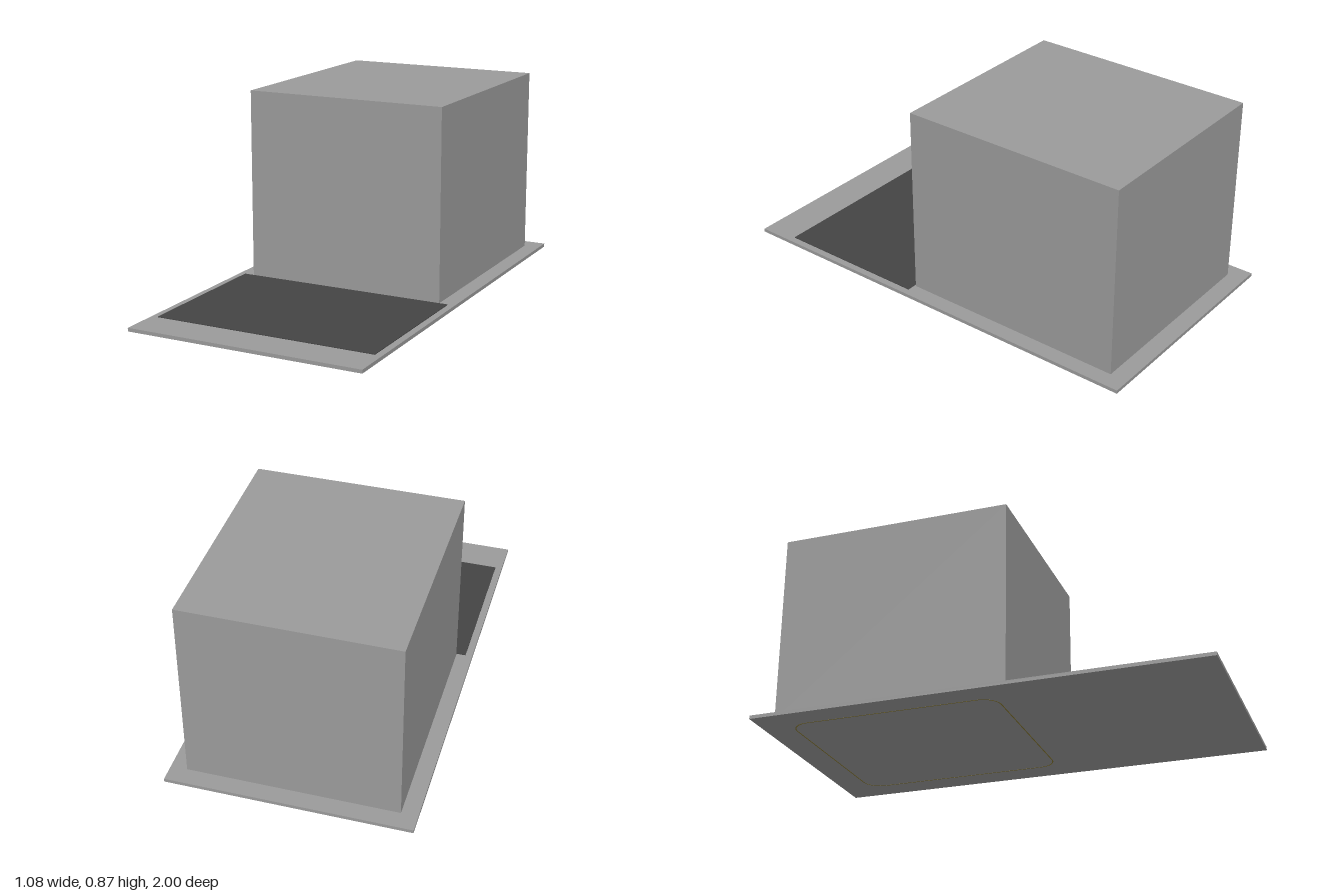
import * as THREE from 'three';

const grey = new THREE.MeshStandardMaterial({ color: 0x9a9a9a });
const dark = new THREE.MeshStandardMaterial({ color: 0x444444 });
const ochre = new THREE.MeshStandardMaterial({ color: 0x8a7a30 });

// Box given by its limits on each axis
function block(name, material, [x0, x1], [y0, y1], [z0, z1]) {
  const mesh = new THREE.Mesh(new THREE.BoxGeometry(x1 - x0, y1 - y0, z1 - z0), material);
  mesh.position.set((x0 + x1) / 2, (y0 + y1) / 2, (z0 + z1) / 2);
  mesh.name = name;
  return mesh;
}

// Rounded rectangle centred on the origin
function roundedRect(path, w, h, r) {
  const x = w / 2 - r, y = h / 2 - r;
  path.absarc(x, y, r, 0, Math.PI / 2);
  path.absarc(-x, y, r, Math.PI / 2, Math.PI);
  path.absarc(-x, -y, r, Math.PI, Math.PI * 1.5);
  path.absarc(x, -y, r, Math.PI * 1.5, Math.PI * 2);
  path.closePath();
  return path;
}

export function createModel() {
  const model = new THREE.Group();
  model.name = 'boxOnBase';

  // Ground slab, main volume and the dark mat in front of it
  model.add(block('baseSlab', grey, [-0.538, 0.538], [0.0004, 0.016], [-1, 1]));
  model.add(block('mainBox', grey, [-0.465, 0.465], [0.016, 0.874], [-0.92, 0.12]));
  model.add(block('frontMat', dark, [-0.507, 0.507], [0.016, 0.019], [0.127, 0.83]));

  // Thin rounded outline on the underside, below the main volume
  const outline = roundedRect(new THREE.Shape(), 0.845, 0.935, 0.08);
  outline.holes.push(roundedRect(new THREE.Path(), 0.835, 0.925, 0.075));
  const ring = new THREE.Mesh(
    new THREE.ExtrudeGeometry(outline, { depth: 0.002, bevelEnabled: false, curveSegments: 8 }),
    ochre
  );
  ring.rotation.x = -Math.PI / 2;
  ring.position.z = -0.405;
  ring.name = 'undersideOutline';
  model.add(ring);

  return model;
}
